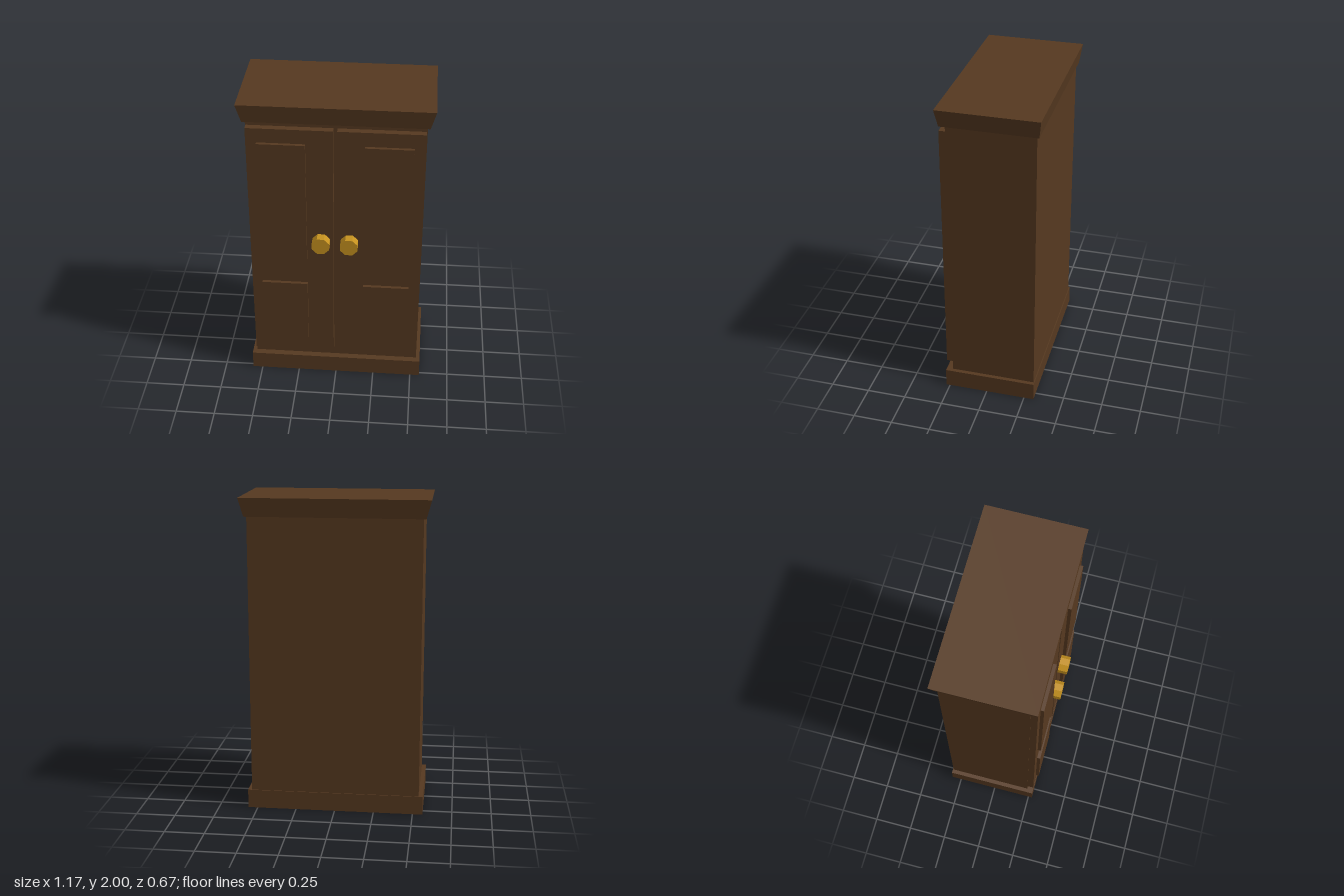
import * as THREE from 'three';

export function createModel() {
  const group = new THREE.Group();
  group.name = 'wardrobe';

  // The plinth is an open shell, so the wood shows from both sides
  const wood = new THREE.MeshStandardMaterial({ name: 'dark wood', color: 0x563920, side: THREE.DoubleSide });
  const brass = new THREE.MeshStandardMaterial({ name: 'brass', color: 0xc6921f });

  const add = (name, geometry, material, parent = group) => {
    const mesh = new THREE.Mesh(geometry, material);
    mesh.name = name;
    parent.add(mesh);
    return mesh;
  };

  // Box given by its limits on each axis
  const block = (x0, x1, y0, y1, z0, z1) =>
    new THREE.BoxGeometry(x1 - x0, y1 - y0, z1 - z0)
      .translate((x0 + x1) / 2, (y0 + y1) / 2, (z0 + z1) / 2);

  // Carcass
  add('carcass', block(-0.538, 0.536, 0.12, 1.885, -0.307, 0.234), wood);

  // Plinth: box without its bottom face
  const plinth = block(-0.564, 0.561, 0, 0.12, -0.313, 0.275);
  const faces = Array.from(plinth.index.array);
  faces.splice(18, 6);
  plinth.setIndex(faces);
  plinth.clearGroups();
  add('plinth', plinth, wood);

  // Cornice: box narrowed towards its lower edge
  const cornice = block(-0.585, 0.583, 1.885, 2, -0.338, 0.284);
  const p = cornice.attributes.position;
  for (let i = 0; i < p.count; i++) {
    if (p.getY(i) < 1.9) {
      p.setX(i, p.getX(i) - Math.sign(p.getX(i)) * 0.032);
      p.setZ(i, p.getZ(i) - Math.sign(p.getZ(i)) * 0.016);
    }
  }
  cornice.computeVertexNormals();
  add('cornice', cornice, wood);

  // Two mirrored doors, each with raised panels and an octagonal knob
  for (const [side, s] of [['left', 1], ['right', -1]]) {
    const door = new THREE.Group();
    door.name = side + 'Door';
    door.position.x = -0.002;
    group.add(door);
    const slab = (a, b, ...rest) => block(Math.min(s * a, s * b), Math.max(s * a, s * b), ...rest);

    add(side + 'DoorLeaf', slab(0.012, 0.533, 0.18, 1.848, 0.23, 0.275), wood, door);
    add(side + 'UpperPanel', slab(0.177, 0.468, 0.932, 1.755, 0.27, 0.296), wood, door);
    add(side + 'LowerPanel', slab(0.177, 0.468, 0.296, 0.741, 0.27, 0.296), wood, door);

    const knob = new THREE.CylinderGeometry(0.058, 0.058, 0.065, 8).toNonIndexed();
    knob.rotateY(Math.PI / 8).rotateX(Math.PI / 2).computeVertexNormals();
    add(side + 'Knob', knob, brass, door).position.set(s * 0.088, 1.065, 0.3025);
  }

  return group;
}
